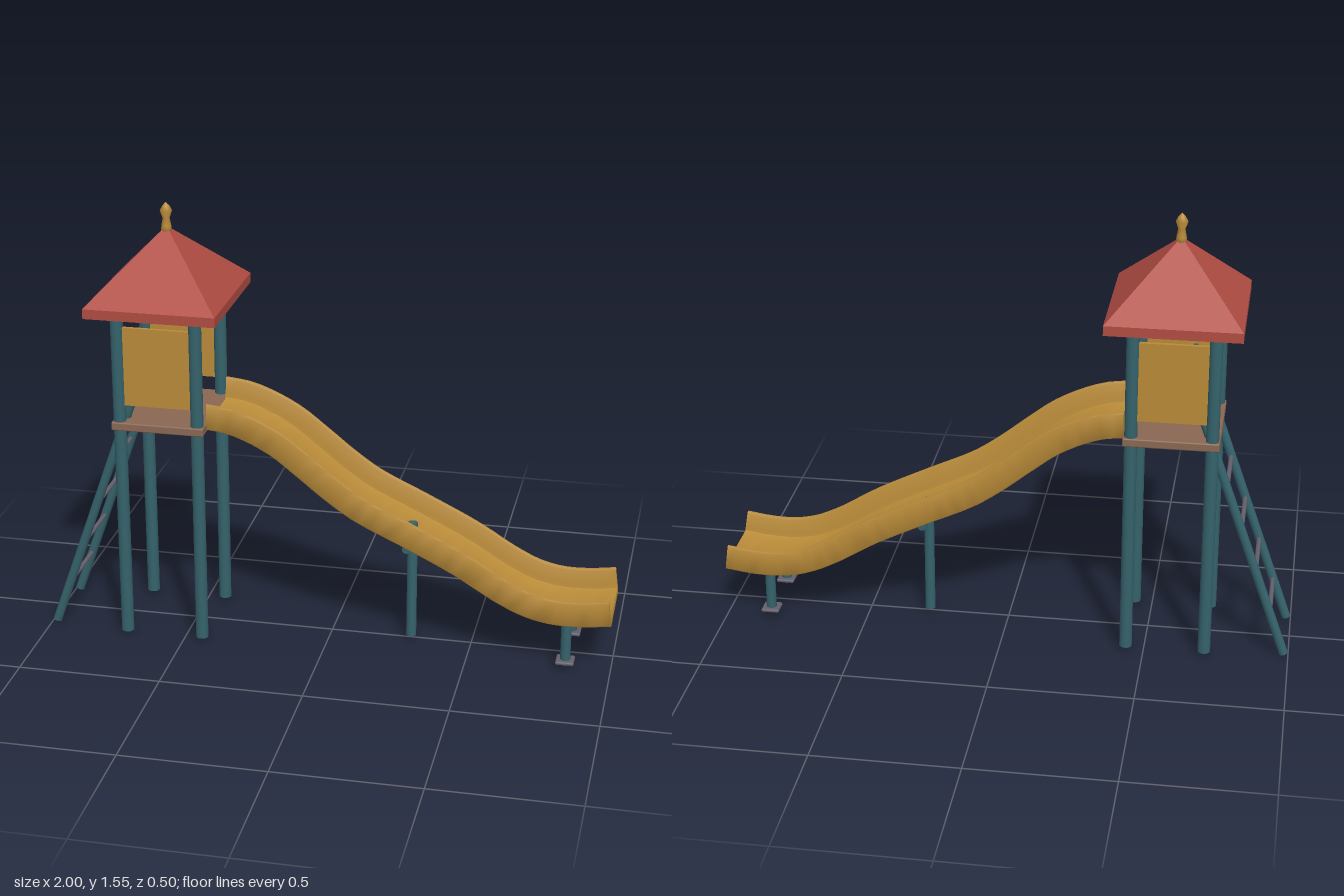
import * as THREE from 'three';
import { toCreasedNormals } from 'three/addons/utils/BufferGeometryUtils.js';
import { RoundedBoxGeometry } from 'three/addons/geometries/RoundedBoxGeometry.js';

const paint = (color, flatShading = false) => new THREE.MeshStandardMaterial({ color, flatShading });
const teal = paint(0x35626b), yellow = paint(0xb88a38), red = paint(0xb04c42, true);
const brown = paint(0x8a6853), steel = paint(0x645f6b);

const V = (x, y, z) => new THREE.Vector3(x, y, z);

function add(parent, name, geometry, material, x = 0, y = 0, z = 0) {
  const mesh = new THREE.Mesh(geometry, material);
  mesh.name = name;
  mesh.position.set(x, y, z);
  parent.add(mesh);
  return mesh;
}

// Round bar running from point a to point b
function bar(parent, name, a, b, radius, material) {
  const dir = b.clone().sub(a);
  const mid = a.clone().add(b).multiplyScalar(0.5);
  const mesh = add(parent, name, new THREE.CylinderGeometry(radius, radius, dir.length(), 16), material, mid.x, mid.y, mid.z);
  mesh.quaternion.setFromUnitVectors(V(0, 1, 0), dir.normalize());
}

// Trough section swept along the path of the slide's underside
function slideGeometry() {
  const path = new THREE.CatmullRomCurve3([
    [-0.41, 0.79], [-0.33, 0.778], [-0.2, 0.72], [-0.1, 0.645], [0, 0.565], [0.1, 0.497], [0.28, 0.41],
    [0.45, 0.325], [0.6, 0.235], [0.7, 0.19], [0.8, 0.17], [0.9, 0.171], [0.997, 0.184],
  ].map(([x, y]) => V(x, y, 0)));

  // (height, z) along one wall, then mirrored for the other
  const wall = [[0, 0.14], [0.006, 0.144], [0.086, 0.145], [0.092, 0.142], [0.092, 0.133],
    [0.085, 0.129], [0.036, 0.123], [0.022, 0.12], [0.018, 0.112]];
  const section = [
    ...wall.map(([h, z]) => new THREE.Vector2(h, -z)),
    ...wall.slice().reverse().map(([h, z]) => new THREE.Vector2(h, z)),
  ];

  const steps = 48, n = section.length, pos = [], index = [];
  for (let i = 0; i <= steps; i++) {
    const p = path.getPointAt(i / steps), t = path.getTangentAt(i / steps);
    if (i === 0) t.set(1, 0, 0);
    for (const s of section) pos.push(p.x - t.y * s.x, p.y + t.x * s.x, s.y);
  }
  for (let i = 0; i < steps; i++) {
    for (let j = 0; j < n; j++) {
      const a = i * n + j, b = i * n + (j + 1) % n;
      index.push(a, b, a + n, b, b + n, a + n);
    }
  }
  for (const [a, b, c] of THREE.ShapeUtils.triangulateShape(section, [])) {
    const end = steps * n;
    index.push(a, c, b, end + a, end + b, end + c);
  }
  const geometry = new THREE.BufferGeometry();
  geometry.setAttribute('position', new THREE.Float32BufferAttribute(pos, 3));
  geometry.setIndex(index);
  return toCreasedNormals(geometry, 0.7);
}

export function createModel() {
  const model = new THREE.Group();
  model.name = 'playgroundSlide';
  const towerX = -0.573;

  // Tower: posts, deck and side panels
  const tower = new THREE.Group();
  tower.name = 'tower';
  model.add(tower);
  for (const z of [-0.165, 0.165]) {
    for (const x of [-0.71, -0.437]) bar(tower, 'post', V(x, 0.01, z), V(x, 1.21, z), 0.022, teal);
    add(tower, 'sidePanel', new THREE.BoxGeometry(0.236, 0.28, 0.014), yellow, towerX, 1.01, z);
  }
  add(tower, 'deck', new RoundedBoxGeometry(0.325, 0.03, 0.38, 2, 0.005), brown, towerX, 0.796, 0);

  // Roof: eave slab, pyramid and finial
  const roof = new THREE.Group();
  roof.name = 'roof';
  model.add(roof);
  add(roof, 'eave', new THREE.BoxGeometry(0.455, 0.034, 0.5), red, towerX, 1.217, 0);
  const pyramid = new THREE.ConeGeometry(Math.SQRT1_2, 0.231, 4).rotateY(Math.PI / 4).scale(0.455, 1, 0.5);
  add(roof, 'pyramid', pyramid, red, towerX, 1.3495, 0);
  const finial = [[0, 1.44], [0.019, 1.44], [0.017, 1.465], [0.012, 1.492], [0.021, 1.518], [0.012, 1.535], [0, 1.548]];
  add(roof, 'finial', new THREE.LatheGeometry(finial.map(([r, y]) => new THREE.Vector2(r, y)), 16), yellow, towerX);

  // Ladder leaning through the open end of the deck
  const ladder = new THREE.Group();
  ladder.name = 'ladder';
  model.add(ladder);
  const foot = V(-0.984, 0.005, 0), top = V(-0.62, 1.03, 0);
  for (const z of [-0.131, 0.131]) {
    bar(ladder, 'rail', foot.clone().setZ(z), top.clone().setZ(z), 0.016, teal);
  }
  for (let i = 0; i < 4; i++) {
    const p = foot.clone().lerp(top, 0.15 + i * 0.152);
    bar(ladder, 'rung', p.clone().setZ(-0.13), p.clone().setZ(0.13), 0.008, steel);
  }

  // Slide trough and its supports
  const slide = new THREE.Group();
  slide.name = 'slide';
  model.add(slide);
  add(slide, 'trough', slideGeometry(), yellow);
  bar(slide, 'middlePost', V(0.285, 0.01, 0), V(0.285, 0.445, 0), 0.018, teal);
  bar(slide, 'crossbar', V(0.285, 0.4, -0.135), V(0.285, 0.4, 0.135), 0.014, teal);
  for (const z of [-0.113, 0.113]) {
    bar(slide, 'endLeg', V(0.843, 0.012, z), V(0.843, 0.18, z), 0.018, teal);
    add(slide, 'footPlate', new RoundedBoxGeometry(0.064, 0.013, 0.064, 3, 0.006), steel, 0.843, 0.025, z);
  }
  return model;
}
